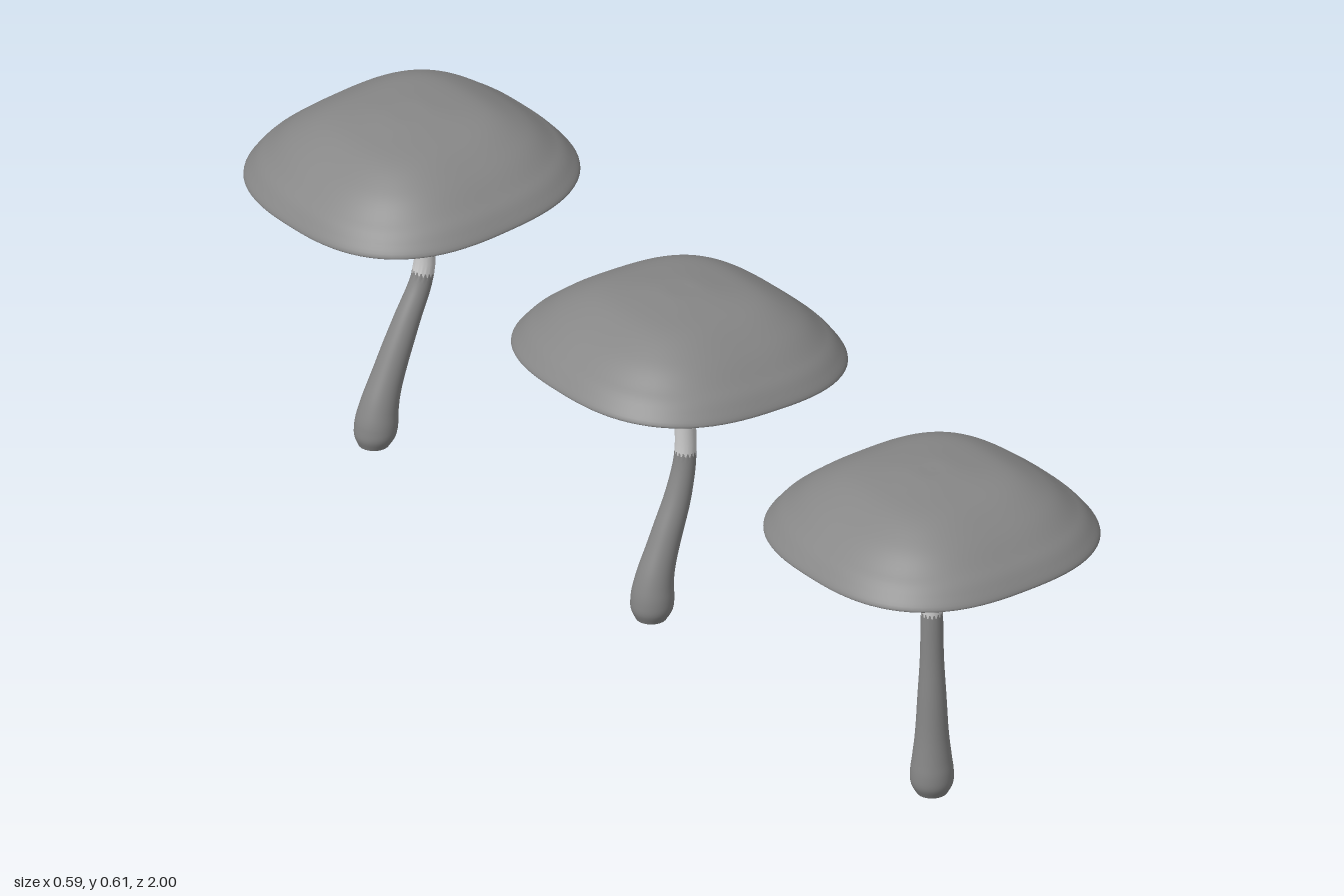
import * as THREE from 'three';

const SEG = 96;

const material = (name, color) => {
  const m = new THREE.MeshStandardMaterial({ color });
  m.name = name;
  return m;
};

// Skin over rings: point(row, angle, column) gives each vertex.
// An optional pick(row, column) returns the material slot of a quad.
function loft(rows, point, pick) {
  const pos = [], slots = [[], []];
  rows.forEach((row) => {
    for (let j = 0; j < SEG; j++) pos.push(...point(row, (j / SEG) * Math.PI * 2, j));
  });
  for (let i = 0; i < rows.length - 1; i++) {
    for (let j = 0; j < SEG; j++) {
      const a = i * SEG + j, b = i * SEG + ((j + 1) % SEG), c = a + SEG, d = b + SEG;
      slots[pick ? pick(rows[i], j) : 0].push(a, c, b, b, c, d);
    }
  }
  const g = new THREE.BufferGeometry();
  g.setAttribute('position', new THREE.Float32BufferAttribute(pos, 3));
  g.setIndex([...slots[0], ...slots[1]]);
  if (pick) {
    g.addGroup(0, slots[0].length, 0);
    g.addGroup(slots[0].length, slots[1].length, 1);
  }
  g.computeVertexNormals();
  return g;
}

// Smooth a short [r, y, squareness] profile into more rows
function smooth(points, count) {
  const curve = new THREE.CatmullRomCurve3(points.map((p) => new THREE.Vector3(...p)));
  return curve.getPoints(count).map((p) => [Math.max(p.x, 0.0001), p.y, p.z]);
}

// Rounded-square ring
const squarish = ([r, y, n], a) => {
  const c = Math.cos(a), s = Math.sin(a);
  const k = r / Math.pow(Math.abs(c) ** n + Math.abs(s) ** n, 1 / n);
  return [k * c, y, k * s];
};

function createMushroom(mats, { bend, z, tilt, capY, tint, drop }) {
  const group = new THREE.Group();
  const add = (parent, name, geo, mat) => {
    const mesh = new THREE.Mesh(geo, mat);
    mesh.name = name;
    parent.add(mesh);
  };

  // Stem centre line, one bend value every 0.07 of height
  const line = new THREE.CatmullRomCurve3(
    bend.map((x, i) => new THREE.Vector3(x, i * 0.07, 0)), false, 'catmullrom', 0.5);
  const onStem = (r, y, a, lift = 0) => {
    const t = Math.min(Math.max(y / 0.49, 0), 1);
    const c = line.getPoint(t), d = line.getTangent(t);
    const lean = y < 0.03 ? 0 : d.x;
    const out = r * Math.cos(a);
    return [c.x + out * d.y, y + lift - out * lean, r * Math.sin(a)];
  };
  const stemPoint = ([r, y, jag = 0], a, j) => onStem(r, y, a, jag * (j % 6 < 3 ? 1 : -1));

  // Stem: base, dark lower part and pale upper part with a jagged border
  add(group, 'stemBase', loft([[0.0001, 0], [0.026, 0]], stemPoint), mats.pale);
  const lower = smooth([[0.026, 0, 0], [0.035, 0.018, 0], [0.036, 0.04, 0], [0.033, 0.065, 0],
    [0.028, 0.11, 0], [0.024, 0.18, 0], [0.02, 0.25, 0], [0.0185, tint - 0.008, 0]], 28);
  add(group, 'lowerStem', loft([...lower, [0.0183, tint, 0.003]], stemPoint), mats.grey);
  add(group, 'upperStem', loft([[0.0183, tint, 0.003], [0.018, tint + 0.02], [0.0175, 0.36],
    [0.0175, 0.39], [0.018, 0.42]], stemPoint), mats.pale);

  // Skirt: pale bell with a dark wavy hem folded under the edge
  const skirtPoint = ([r, y, w], a) =>
    onStem(r * (1 + w * 0.04 * Math.cos(8 * a)), y - drop, a, w * 0.003 * Math.sin(8 * a + 1));
  add(group, 'skirtLining', loft([[0.018, 0.412, 0], [0.033, 0.405, 0.3],
    [0.043, 0.395, 0.6]], skirtPoint), mats.pale);
  add(group, 'skirtHem', loft([[0.043, 0.395, 0.6], [0.055, 0.383, 1], [0.052, 0.388, 0.9],
    [0.046, 0.397, 0.7], [0.041, 0.408, 0.5]], skirtPoint), mats.grey);
  add(group, 'skirt', loft([[0.041, 0.408, 0.5], [0.036, 0.422, 0.2], [0.031, 0.44, 0],
    [0.027, 0.455, 0], [0.0245, 0.463, 0], [0.022, 0.47, 0]], skirtPoint), mats.pale);

  // Cap: squarish dome, hollow underside and a flared neck
  const cap = new THREE.Group();
  cap.name = 'cap';
  cap.position.set(bend[7], capY, 0);
  cap.rotation.z = tilt;
  add(cap, 'capTop', loft(smooth([[0.252, 0, 2.6], [0.257, 0.004, 2.6], [0.243, 0.025, 2.6],
    [0.215, 0.05, 2.7], [0.17, 0.082, 3], [0.12, 0.105, 3.2], [0.06, 0.115, 3],
    [0, 0.118, 2]], 36), squarish), mats.grey);
  add(cap, 'capNeck', loft(smooth([[0.024, -0.032, 2], [0.029, -0.02, 2], [0.041, 0, 2],
    [0.055, 0.012, 2], [0.072, 0.02, 2.1]], 12), squarish), mats.grey);

  // Gills: pale underside with dark dashes near the rim and a short star round the neck
  const gillMark = ([r], j) => {
    const k = (j + 1) % 12;
    const dash = r > 0.16 && r < 0.232 && k < 2;
    const star = r < 0.108 && k > 4 && k < 9;
    return dash || star ? 1 : 0;
  };
  add(cap, 'gills', loft(smooth([[0.072, 0.02, 2.1], [0.12, 0.026, 2.3], [0.18, 0.019, 2.5],
    [0.23, 0.005, 2.6], [0.252, 0, 2.6]], 24), squarish, gillMark), [mats.pale, mats.grey]);

  group.add(cap);
  group.position.z = z;
  return group;
}

export function createModel() {
  const mats = {
    grey: material('midGrey', 0x868686),
    pale: material('paleGrey', 0xcecece),
  };
  const specs = [
    { name: 'frontMushroom', z: 0.742, tilt: 0, capY: 0.489, tint: 0.337, drop: 0,
      bend: [-0.039, -0.039, -0.039, -0.039, -0.039, -0.039, -0.039, -0.039] },
    { name: 'middleMushroom', z: -0.003, tilt: -0.05, capY: 0.479, tint: 0.288, drop: 0.01,
      bend: [-0.042, -0.035, -0.012, 0.014, 0.029, 0.029, 0.023, 0.017] },
    { name: 'backMushroom', z: -0.743, tilt: 0.06, capY: 0.483, tint: 0.288, drop: 0.01,
      bend: [-0.042, -0.03, -0.004, 0.027, 0.059, 0.066, 0.052, 0.038] },
  ];
  const model = new THREE.Group();
  model.name = 'mushrooms';
  for (const spec of specs) {
    const mushroom = createMushroom(mats, spec);
    mushroom.name = spec.name;
    model.add(mushroom);
  }
  return model;
}
